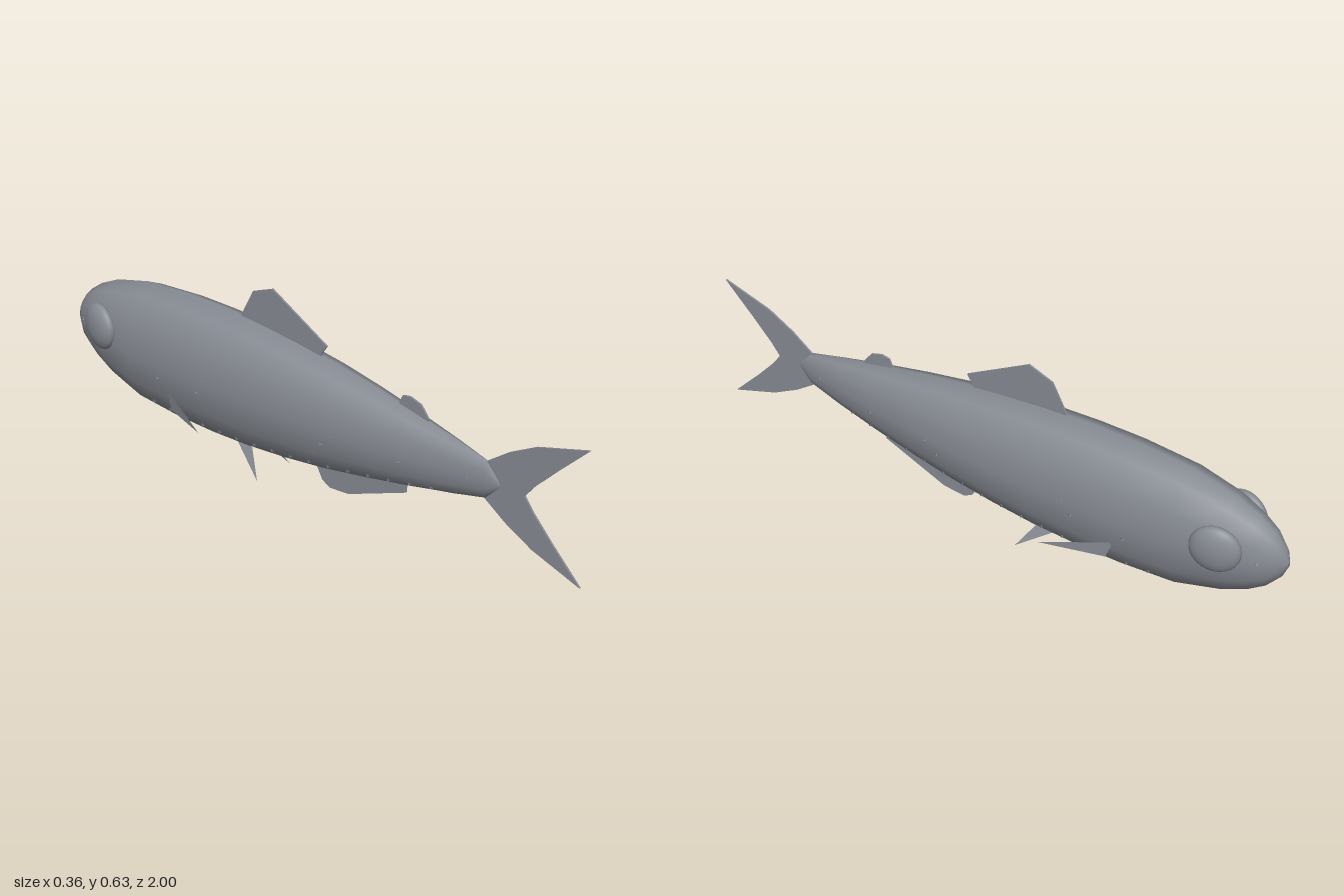
import * as THREE from 'three';

const grey = new THREE.MeshStandardMaterial({ color: 0x878b93, side: THREE.DoubleSide });
grey.name = 'fish grey';

// Body stations from nose to tail root: z, top, bottom, half width
const STATIONS = [
  [-1.0, 0.3, 0.28, 0.008], [-0.985, 0.34, 0.24, 0.03], [-0.95, 0.385, 0.195, 0.055],
  [-0.9, 0.42, 0.158, 0.074], [-0.82, 0.457, 0.122, 0.096], [-0.68, 0.492, 0.08, 0.114],
  [-0.5, 0.506, 0.067, 0.12], [-0.35, 0.507, 0.066, 0.12], [-0.2, 0.5, 0.073, 0.118],
  [-0.05, 0.486, 0.088, 0.111], [0.1, 0.467, 0.109, 0.101], [0.25, 0.442, 0.136, 0.084],
  [0.4, 0.413, 0.166, 0.064], [0.55, 0.381, 0.2, 0.04], [0.67, 0.352, 0.232, 0.018],
  [0.72, 0.295, 0.285, 0.003],
];
const SIDES = 12;

// Interpolated body section at z
function section(z) {
  let k = 0;
  while (k < STATIONS.length - 2 && STATIONS[k + 1][0] < z) k++;
  const a = STATIONS[k], b = STATIONS[k + 1];
  const t = (z - a[0]) / (b[0] - a[0]);
  const [, top, bottom, w] = a.map((v, i) => v + (b[i] - v) * t);
  return { cy: (top + bottom) / 2, ry: (top - bottom) / 2, rx: w };
}

function bodyGeometry() {
  const pos = [], index = [];
  for (const [z, top, bottom, w] of STATIONS) {
    for (let i = 0; i < SIDES; i++) {
      const a = (i / SIDES) * Math.PI * 2;
      pos.push(w * Math.cos(a), (top + bottom) / 2 + ((top - bottom) / 2) * Math.sin(a), z);
    }
  }
  for (let s = 0; s < STATIONS.length - 1; s++) {
    for (let i = 0; i < SIDES; i++) {
      const j = (i + 1) % SIDES, p = s * SIDES, q = p + SIDES;
      index.push(p + i, p + j, q + i, p + j, q + j, q + i);
    }
  }
  // End caps
  const last = (STATIONS.length - 1) * SIDES;
  for (let i = 1; i < SIDES - 1; i++) index.push(0, i + 1, i, last, last + i, last + i + 1);
  const g = new THREE.BufferGeometry();
  g.setAttribute('position', new THREE.Float32BufferAttribute(pos, 3));
  g.setIndex(index);
  g.computeVertexNormals();
  return g;
}

// Thin fin on the midline, outlined by [z, y] points
function midFin(points) {
  const depth = 0.006;
  const shape = new THREE.Shape(points.map(([z, y]) => new THREE.Vector2(z, y)));
  const g = new THREE.ExtrudeGeometry(shape, { depth, bevelEnabled: false });
  return g.rotateY(-Math.PI / 2).translate(depth / 2, 0, 0);
}

// Flat triangular fin on one side
function sideFin(corners, side) {
  const g = new THREE.BufferGeometry();
  const pos = corners.flatMap(([x, y, z]) => [x * side, y, z]);
  g.setAttribute('position', new THREE.Float32BufferAttribute(pos, 3));
  g.setIndex(side > 0 ? [0, 1, 2] : [0, 2, 1]);
  g.computeVertexNormals();
  return g;
}

export function createModel() {
  const fish = new THREE.Group();
  fish.name = 'fish';
  const add = (name, geometry, parent = fish) => {
    const mesh = new THREE.Mesh(geometry, grey);
    mesh.name = name;
    parent.add(mesh);
    return mesh;
  };

  add('body', bodyGeometry());

  // Midline fins
  add('tailFin', midFin([
    [0.66, 0.345], [0.74, 0.405], [0.83, 0.455], [1.0, 0.507], [0.9, 0.405], [0.83, 0.33], [0.8, 0.29],
    [0.83, 0.25], [0.9, 0.175], [1.0, 0.075], [0.835, 0.13], [0.74, 0.18], [0.66, 0.235],
  ]));
  add('dorsalFin', midFin([
    [0.05, 0.46], [0.055, 0.48], [0.075, 0.51], [-0.14, 0.629], [-0.22, 0.598], [-0.27, 0.505], [-0.26, 0.48],
  ]));
  add('adiposeFin', midFin([
    [0.45, 0.39], [0.46, 0.405], [0.43, 0.443], [0.39, 0.455], [0.363, 0.45], [0.345, 0.41], [0.36, 0.39],
  ]));
  add('analFin', midFin([
    [0.385, 0.18], [0.385, 0.137], [0.165, 0.045], [0.09, 0.038], [0.06, 0.055], [0.03, 0.11], [0.1, 0.14],
  ]));

  for (const side of [1, -1]) {
    const label = side > 0 ? 'left' : 'right';

    // Paired fins
    add(label + 'PectoralFin', sideFin([[0.105, 0.205, -0.5], [0.11, 0.145, -0.48], [0.18, 0.16, -0.29]], side));
    add(label + 'PelvicFin', sideFin([[0.034, 0.088, -0.27], [0.037, 0.085, -0.2], [0.075, 0, -0.145]], side));

    // Bulging eye, turned to follow the head
    const eye = add(label + 'Eye', new THREE.SphereGeometry(1, 24, 16));
    eye.scale.set(0.032, 0.077, 0.077);
    eye.position.set(side * 0.092, 0.325, -0.815);
    eye.rotation.y = side * 0.2;

    // Light organs: small three-sided studs along belly and flank
    const studs = new THREE.Group();
    studs.name = label + 'LightOrgans';
    fish.add(studs);
    const spots = [[-0.535, 0.24], [-0.33, 0.3], [-0.36, 0.25], [0.17, 0.28], [0.13, 0.24], [0.1, 0.2],
      [0.4, 0.27], [0.62, 0.29], [-0.93, 0.3]];
    for (let i = 0; i < 16; i++) {
      const z = -0.6 + i * 0.073, { cy, ry } = section(z);
      spots.push([z, cy - ry * 0.8]);
    }
    for (const [z, y] of spots) {
      const { cy, ry, rx } = section(z);
      const s = (y - cy) / ry, c = Math.sqrt(1 - s * s);
      const normal = new THREE.Vector3((side * c) / rx, s / ry, 0).normalize();
      const stud = add('lightOrgan', new THREE.ConeGeometry(0.011, 0.01, 3), studs);
      stud.position.set(side * rx * c * 0.98, y, z);
      stud.quaternion.setFromUnitVectors(new THREE.Vector3(0, 1, 0), normal);
    }
  }
  return fish;
}
